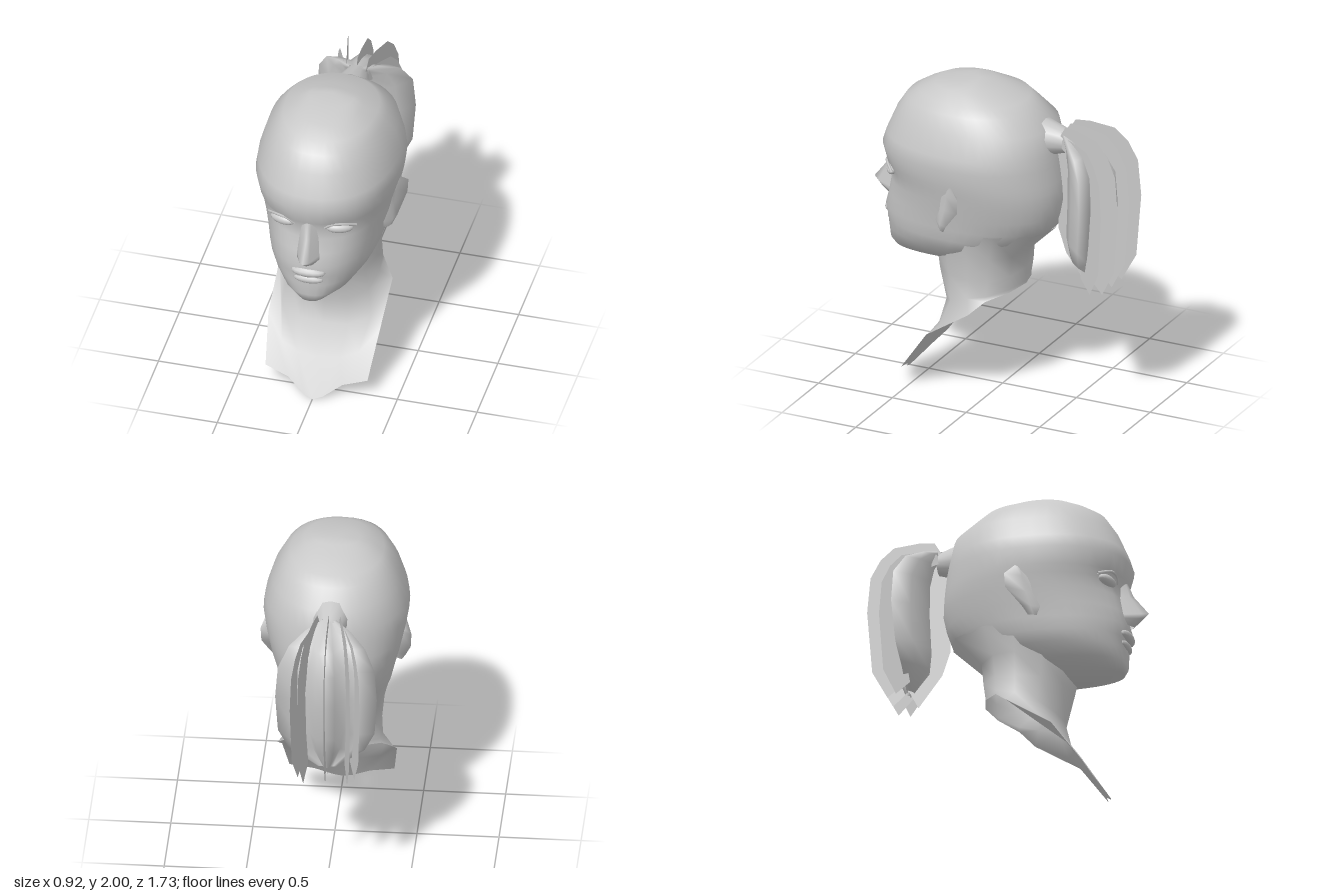
import * as THREE from 'three';
import { mergeVertices } from 'three/addons/utils/BufferGeometryUtils.js';

const clay = new THREE.MeshStandardMaterial({ color: 0xc8c8c8, side: THREE.DoubleSide });
clay.name = 'plain grey';

// Smooth surface through rows of points, rows top to bottom, columns left to right.
// A cell is left open where a column keeps the same point in both rows.
function surface(rows) {
  const n = rows[0].length, index = [];
  const same = (r, c) => rows[r][c].every((v, k) => v === rows[r + 1][c][k]);
  for (let r = 0; r < rows.length - 1; r++) {
    for (let c = 0; c < n - 1; c++) {
      if (same(r, c) || same(r, c + 1)) continue;
      const a = r * n + c, d = a + n;
      index.push(a, d, d + 1, a, d + 1, a + 1);
    }
  }
  const geo = new THREE.BufferGeometry();
  geo.setAttribute('position', new THREE.Float32BufferAttribute(rows.flat(2), 3));
  geo.setIndex(index);
  const merged = mergeVertices(geo, 1e-4);
  merged.computeVertexNormals();
  return merged;
}

// Half rows start on the centre line and are mirrored to the other side
const mirrored = (halves) => surface(halves.map((half) => [
  ...half.slice(1).reverse().map(([x, y, z]) => [-x, y, z]), ...half,
]));

// Half of a rounded ring: height, front z, back z, half width
function halfRing([y, zf, zb, hw], steps) {
  const zc = zb + 0.45 * (zf - zb), row = [];
  for (let i = 0; i <= steps; i++) {
    const t = (i / steps) * Math.PI, s = Math.sin(t), c = Math.cos(t);
    const e = 2 / (c > 0 ? 2.3 : 2.1);
    const x = i === steps ? 0 : hw * Math.pow(s, e);
    const z = zc + Math.sign(c) * Math.pow(Math.abs(c), e) * (c > 0 ? zf - zc : zc - zb);
    row.push([x, y, z]);
  }
  return row;
}

export function createModel() {
  const model = new THREE.Group();
  const add = (name, geo, parent = model) => {
    const mesh = new THREE.Mesh(geo, clay);
    mesh.name = name;
    parent.add(mesh);
    return mesh;
  };

  // Skull and jaw, with shallow eye sockets
  const skull = [
    [2.0, 0.15, 0.15, 0], [1.985, 0.27, 0.08, 0.14], [1.96, 0.43, 0, 0.2], [1.91, 0.53, -0.16, 0.285],
    [1.86, 0.61, -0.22, 0.33], [1.76, 0.675, -0.34, 0.39], [1.62, 0.735, -0.37, 0.432],
    [1.54, 0.76, -0.385, 0.443], [1.43, 0.735, -0.4, 0.425], [1.38, 0.71, -0.405, 0.413],
    [1.3, 0.71, -0.41, 0.395], [1.2, 0.73, -0.39, 0.37], [1.11, 0.755, -0.36, 0.35],
    [1.03, 0.74, -0.27, 0.333], [0.96, 0.735, -0.19, 0.3], [0.88, 0.735, -0.03, 0.23],
    [0.82, 0.715, 0.12, 0.13], [0.77, 0.43, 0.43, 0],
  ].map((ring) => halfRing(ring, 20));
  for (const p of skull.flat()) {
    if (p[2] > 0.4) {
      const d = ((p[0] - 0.18) / 0.08) ** 2 + ((p[1] - 1.37) / 0.05) ** 2;
      p[2] -= 0.022 * Math.exp(-d);
    }
  }
  add('head', mirrored(skull));

  // Nose
  add('nose', mirrored([
    [[0, 1.43, 0.732], [0.02, 1.43, 0.722], [0.045, 1.43, 0.7]],
    [[0, 1.33, 0.775], [0.022, 1.33, 0.752], [0.06, 1.33, 0.695]],
    [[0, 1.21, 0.868], [0.03, 1.2, 0.83], [0.075, 1.19, 0.715]],
    [[0, 1.185, 0.843], [0.035, 1.17, 0.8], [0.08, 1.165, 0.715]],
    [[0, 1.13, 0.775], [0.03, 1.13, 0.755], [0.06, 1.14, 0.72]],
  ]));

  // Lips
  const lip = (name, y, z, sx, sy, sz) => {
    const mesh = add(name, new THREE.SphereGeometry(1, 16, 8));
    mesh.position.set(0, y, z);
    mesh.scale.set(sx, sy, sz);
  };
  lip('upperLip', 1.06, 0.725, 0.11, 0.036, 0.048);
  lip('lowerLip', 1.0, 0.72, 0.095, 0.03, 0.035);

  // Eyes, upper lids and ears
  for (const side of [1, -1]) {
    const name = side > 0 ? 'left' : 'right';
    const eye = add(name + 'Eye', new THREE.SphereGeometry(1, 16, 10));
    eye.position.set(side * 0.18, 1.375, 0.655);
    eye.scale.set(0.083, 0.034, 0.036);
    eye.rotation.y = side * 0.3;

    const lid = [[0.095, 1.385, 0.695], [0.14, 1.42, 0.7], [0.2, 1.425, 0.685], [0.275, 1.39, 0.62]];
    const path = new THREE.CatmullRomCurve3(lid.map(([x, y, z]) => new THREE.Vector3(side * x, y, z)));
    add(name + 'Eyelid', new THREE.TubeGeometry(path, 10, 0.009, 5));

    const ear = [
      [[0.4, 1.4, 0.19], [0.415, 1.42, 0.17], [0.43, 1.43, 0.14], [0.39, 1.4, 0.12]],
      [[0.4, 1.35, 0.22], [0.415, 1.36, 0.18], [0.46, 1.37, 0.08], [0.39, 1.36, 0.12]],
      [[0.38, 1.25, 0.24], [0.4, 1.26, 0.2], [0.455, 1.28, 0.085], [0.37, 1.26, 0.14]],
      [[0.355, 1.17, 0.28], [0.4, 1.16, 0.23], [0.415, 1.16, 0.18], [0.35, 1.16, 0.2]],
      [[0.345, 1.12, 0.26], [0.375, 1.11, 0.24], [0.39, 1.11, 0.21], [0.34, 1.12, 0.22]],
    ].map((row) => {
      const out = row.map(([x, y, z]) => [side * x, y, z]);
      return side > 0 ? out : out.reverse();
    });
    add(name + 'Ear', surface(ear));
  }

  // Neck flowing out of the skull, open at the hem, with a chest panel at the front
  const nape = [[0.285, 0.65, -0.02], [0.15, 0.68, -0.12], [0, 0.695, -0.16]];
  add('neckAndChest', mirrored([
    [[0, 0.9, 0.42], [0.15, 0.92, 0.38], [0.26, 1.0, 0.26], [0.335, 1.08, 0.1], [0.32, 1.1, -0.09], [0.19, 1.1, -0.3], [0, 1.1, -0.36]],
    [[0, 0.84, 0.43], [0.14, 0.86, 0.37], [0.245, 0.9, 0.26], [0.295, 0.92, 0.1], [0.27, 0.92, -0.04], [0.16, 0.92, -0.14], [0, 0.92, -0.175]],
    [[0, 0.72, 0.405], [0.13, 0.75, 0.36], [0.23, 0.76, 0.25], [0.28, 0.77, 0.1], [0.265, 0.78, -0.03], [0.16, 0.79, -0.13], [0, 0.8, -0.16]],
    [[0, 0.55, 0.34], [0.14, 0.56, 0.31], [0.25, 0.6, 0.23], [0.285, 0.65, 0.1], [0.275, 0.68, -0.02], [0.15, 0.7, -0.12], [0, 0.71, -0.16]],
    [[0, 0.4, 0.37], [0.15, 0.4, 0.355], [0.28, 0.44, 0.29], [0.355, 0.575, 0.06], ...nape],
    [[0, 0.22, 0.49], [0.13, 0.23, 0.48], [0.24, 0.27, 0.445], [0.35, 0.39, 0.345], ...nape],
    [[0, 0, 0.63], [0.06, 0.02, 0.615], [0.17, 0.09, 0.56], [0.32, 0.13, 0.53], ...nape],
  ]));

  // Ponytail: gathered root, winged core and loose flat locks
  const tail = new THREE.Group();
  tail.name = 'ponytail';
  model.add(tail);
  const root = add('ponytailRoot', new THREE.CylinderGeometry(0.07, 0.12, 0.16, 14, 1, true), tail);
  root.rotation.x = -Math.PI / 2;
  root.position.set(0, 1.69, -0.37);

  // Core section as half width and distance back, scaled at each height
  const section = [[0, 0.04], [0.1, 0.02], [0.22, 0.1], [0.31, 0.2], [0.2, 0.22], [0.11, 0.2], [0.06, 0.3], [0, 0.31]];
  add('ponytailCore', mirrored([
    [1.76, 0.15, -0.4], [1.73, 0.45, -0.42], [1.67, 0.75, -0.45], [1.55, 0.95, -0.47],
    [1.35, 1, -0.47], [1.1, 0.95, -0.46], [0.97, 0.75, -0.48], [0.85, 0.2, -0.6],
  ].map(([y, s, z]) => section.map(([x, d]) => [x * s, y, z - d * s]))), tail);

  // Lock outlines as distance behind the head and height
  const rim = [[0.42, 1.74], [0.46, 1.81], [0.55, 1.81], [0.7, 1.78], [0.78, 1.7], [0.84, 1.58], [0.86, 1.35],
    [0.83, 0.95], [0.74, 0.78], [0.64, 0.87]];
  const centreLock = [...rim, [0.58, 0.75], [0.43, 0.95], [0.38, 1.1], [0.375, 1.6]];
  const backLock = [...rim, [0.68, 1.1], [0.7, 1.4], [0.64, 1.62], [0.55, 1.68]];
  const middleLock = backLock.map(([d, y]) => [0.42 + (d - 0.42) * 0.8, 1.74 + (y - 1.81) * 0.93]);
  const lock = (name, outline, x0, slope) => {
    const geo = new THREE.ShapeGeometry(new THREE.Shape(outline.map(([d, y]) => new THREE.Vector2(d, y))));
    const p = geo.attributes.position;
    for (let i = 0; i < p.count; i++) {
      const d = p.getX(i);
      p.setXYZ(i, x0 + slope * (d - 0.42), p.getY(i), -d);
    }
    geo.computeVertexNormals();
    add(name, geo, tail);
  };
  lock('centreLock', centreLock, 0, 0);
  for (const side of [1, -1]) {
    lock('backLock', backLock, side * 0.06, side * 0.23);
    lock('middleLock', middleLock, side * 0.065, side * 0.42);
  }
  return model;
}
